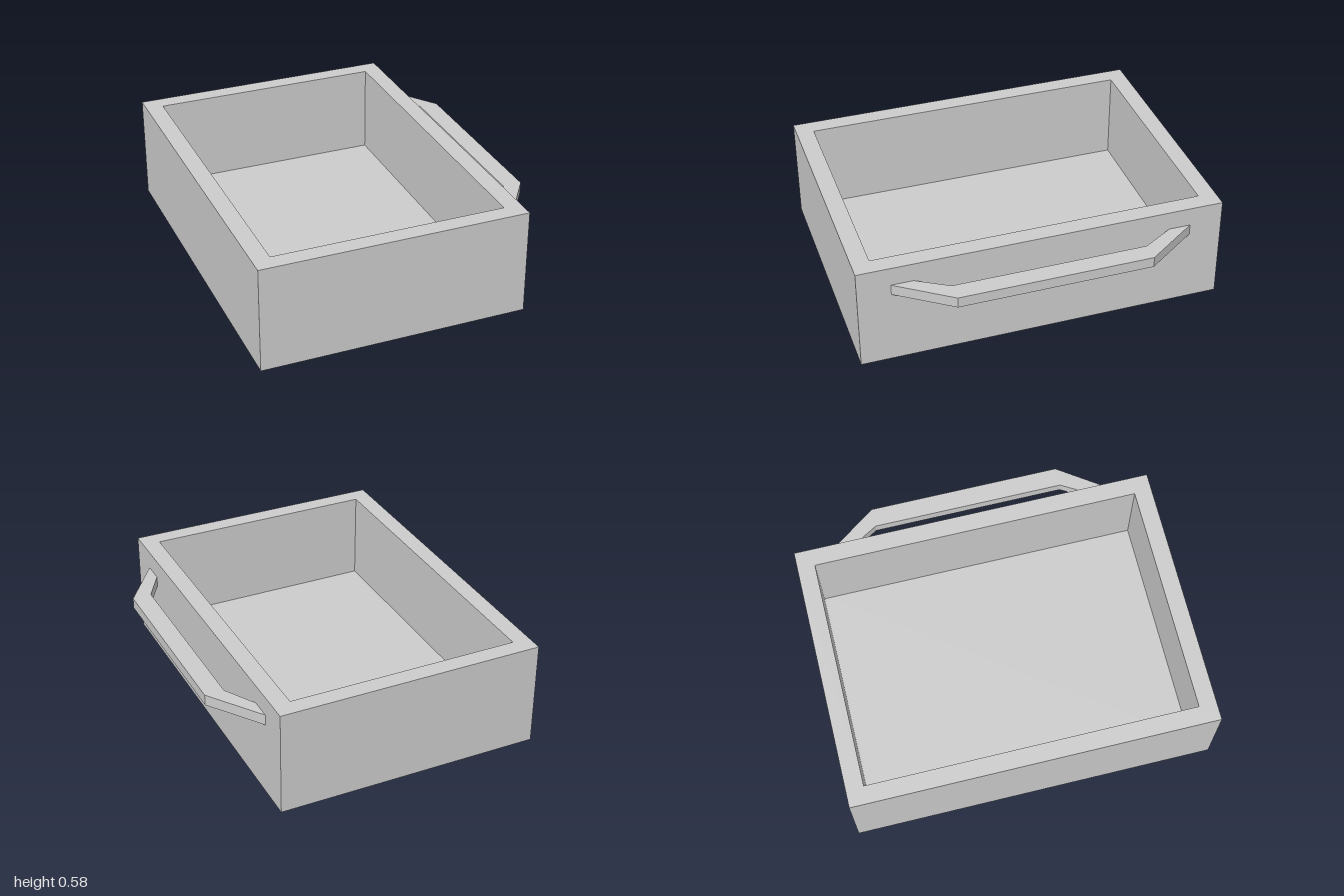
import * as THREE from 'three';

const material = new THREE.MeshStandardMaterial({ color: 0xcccccc, flatShading: true });

// Closed outline from [x, z] points, as a path or shape
const outline = (points, Type = THREE.Shape) =>
  new Type(points.map(([x, z]) => new THREE.Vector2(x, -z)));

const rectangle = (x0, x1, z) => [[x0, z], [x1, z], [x1, -z], [x0, -z]];

// Plan shape raised from y0 to y1
function slab(name, shape, y0, y1) {
  const geometry = new THREE.ExtrudeGeometry(shape, { depth: y1 - y0, bevelEnabled: false });
  geometry.rotateX(-Math.PI / 2).translate(0, y0, 0);
  const mesh = new THREE.Mesh(geometry, material);
  mesh.name = name;
  return mesh;
}

export function createModel() {
  const model = new THREE.Group();
  model.name = 'drawer';

  const height = 0.585, floorTop = 0.085;
  const back = -0.835, face = 0.63, halfWidth = 1, wall = 0.097;

  // Open tray: solid floor with a ring of walls
  const floor = outline(rectangle(back, face, halfWidth));
  const walls = outline(rectangle(back, face, halfWidth));
  walls.holes.push(outline(rectangle(back + wall, face - wall, halfWidth - wall), THREE.Path));
  model.add(slab('floor', floor, 0, floorTop));
  model.add(slab('walls', walls, floorTop, height));

  // Angled pull bar on the left side, mirrored front to back
  const half = [[face, 0.7], [0.73, 0.53], [0.835, 0.53], [face, 0.82]];
  const [innerFoot, innerBend, outerBend, outerFoot] = half;
  const mirror = ([x, z]) => [x, -z];
  const handle = outline([
    outerFoot, outerBend, mirror(outerBend), mirror(outerFoot),
    mirror(innerFoot), mirror(innerBend), innerBend, innerFoot,
  ]);
  model.add(slab('handle', handle, 0.42, 0.48));

  return model;
}
